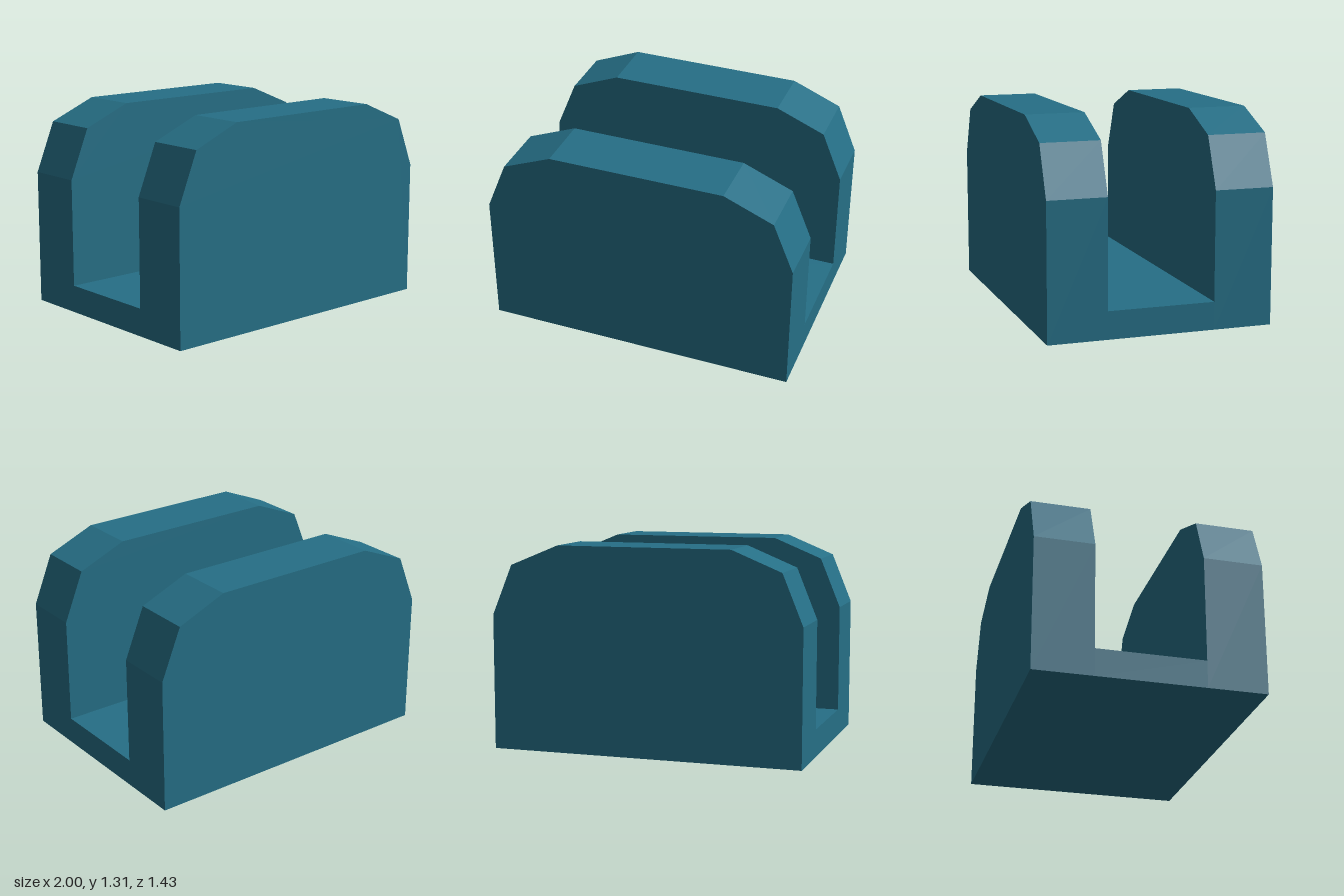
import * as THREE from 'three';

const teal = new THREE.MeshStandardMaterial({ color: 0x266f86, flatShading: true });
teal.name = 'teal';

const OUTER = 0.715, INNER = 0.34, FLOOR = 0.175;

// Side wall outline with faceted, rounded upper corners
function wallGeometry() {
  const half = [[1, 0], [1, 0.86], [0.87, 1.177], [0.557, 1.306]];
  const mirrored = half.map(([x, y]) => [-x, y]).reverse();
  const outline = [...half, ...mirrored].map(([x, y]) => new THREE.Vector2(x, y));
  return new THREE.ExtrudeGeometry(new THREE.Shape(outline), {
    depth: OUTER - INNER,
    bevelEnabled: false,
  });
}

export function createModel() {
  const model = new THREE.Group();
  model.name = 'channelBlock';

  // Two upright walls, front and back
  const geometry = wallGeometry();
  for (const [name, z] of [['frontWall', INNER], ['backWall', -OUTER]]) {
    const wall = new THREE.Mesh(geometry, teal);
    wall.name = name;
    wall.position.z = z;
    model.add(wall);
  }

  // Floor slab joining the walls
  const floor = new THREE.Mesh(new THREE.BoxGeometry(2, FLOOR, 2 * INNER), teal);
  floor.name = 'channelFloor';
  floor.position.y = FLOOR / 2;
  model.add(floor);

  return model;
}
